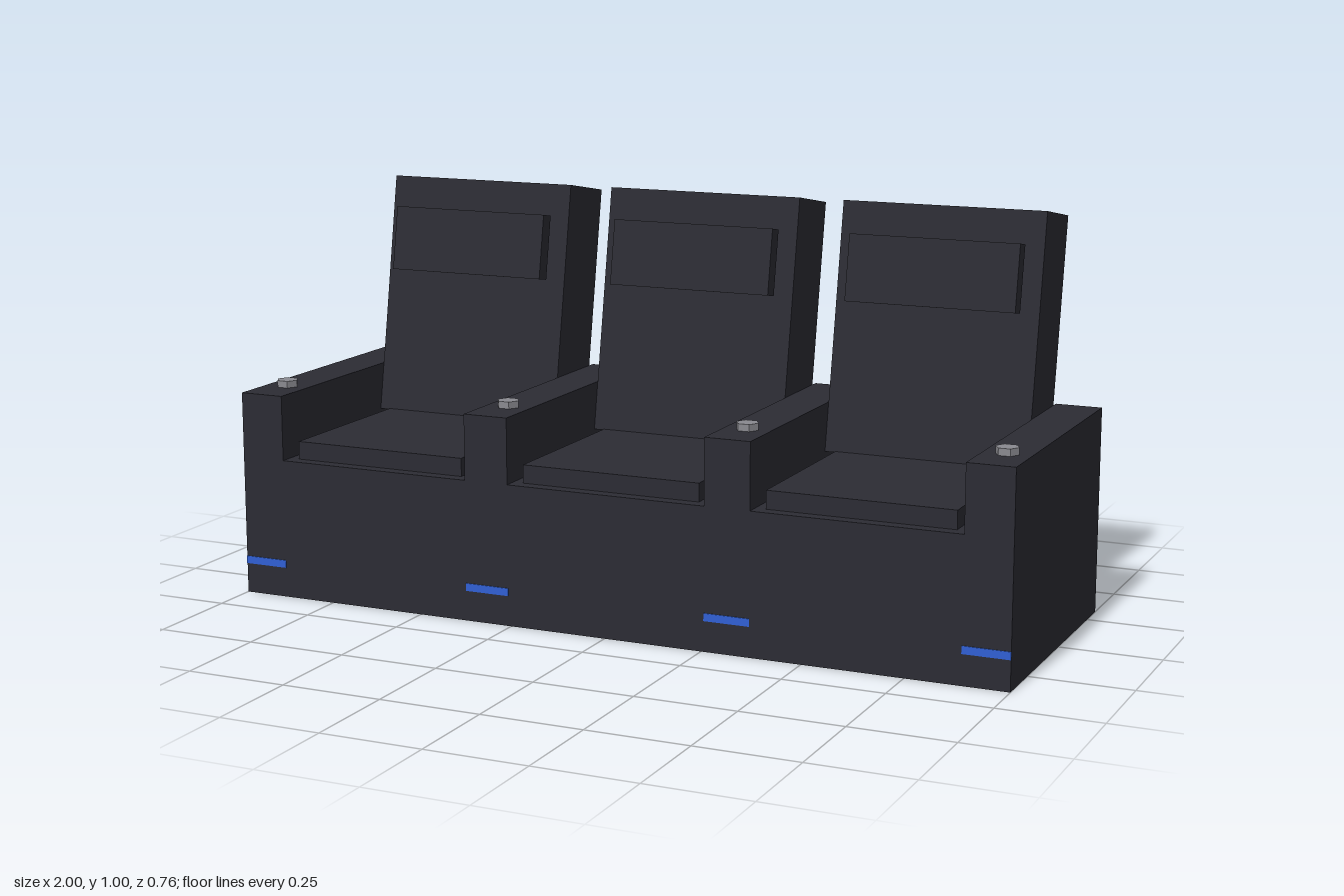
import * as THREE from 'three';

const charcoal = new THREE.MeshStandardMaterial({ name: 'charcoal upholstery', color: 0x2c2c34 });
const grey = new THREE.MeshStandardMaterial({ name: 'grey metal', color: 0x8a8a90 });
const blue = new THREE.MeshStandardMaterial({ name: 'blue light', color: 0x3060d4 });

const PITCH = 0.6283;          // spacing of seats and of armrests
const ARM_W = 0.115;
const SEAT_W = PITCH - ARM_W;
const FRONT = 0.38;
const TILT = -THREE.MathUtils.degToRad(10);

// Box given by its centre x and its y and z ranges
function box(name, material, x, width, [y0, y1], [z0, z1]) {
  const mesh = new THREE.Mesh(new THREE.BoxGeometry(width, y1 - y0, z1 - z0), material);
  mesh.name = name;
  mesh.position.set(x, (y0 + y1) / 2, (z0 + z1) / 2);
  return mesh;
}

function makeSeat(x) {
  const seat = new THREE.Group();
  seat.name = 'seat';
  seat.position.x = x;
  seat.add(box('seatBase', charcoal, 0, SEAT_W, [0, 0.35], [-0.28, FRONT]));
  seat.add(box('seatCushion', charcoal, 0, 0.46, [0.35, 0.395], [-0.25, 0.348]));

  // Reclined back, pivoting on its lower front edge, with a floating head pad
  const back = new THREE.Group();
  back.name = 'reclinedBack';
  back.position.set(0, 0.393, -0.096);
  back.rotation.x = TILT;
  back.add(box('backrest', charcoal, 0, SEAT_W, [0, 0.616], [-0.182, 0]));
  back.add(box('headrest', charcoal, 0, 0.428, [0.37, 0.534], [0.0165, 0.0565]));
  back.children[1].position.z = 0.038;
  seat.add(back);
  return seat;
}

function makeArm(x) {
  const arm = new THREE.Group();
  arm.name = 'arm';
  arm.position.x = x;
  arm.add(box('armrest', charcoal, 0, ARM_W, [0, 0.513], [-0.324, FRONT]));
  arm.add(box('lightStrip', blue, 0, ARM_W, [0.075, 0.094], [FRONT - 0.003, FRONT + 0.002]));

  // Six-sided cup holder with its corners pointing sideways
  const cup = new THREE.Mesh(new THREE.CylinderGeometry(0.028, 0.028, 0.02, 6), grey);
  cup.geometry.rotateY(Math.PI / 6);
  cup.material.flatShading = true;
  cup.name = 'cupHolder';
  cup.position.set(0, 0.52, 0.26);
  arm.add(cup);
  return arm;
}

export function createModel() {
  const model = new THREE.Group();
  model.name = 'threeSeatRecliner';
  for (let i = -1; i <= 1; i++) model.add(makeSeat(i * PITCH));
  for (let i = -1.5; i <= 1.5; i++) model.add(makeArm(i * PITCH));
  return model;
}
